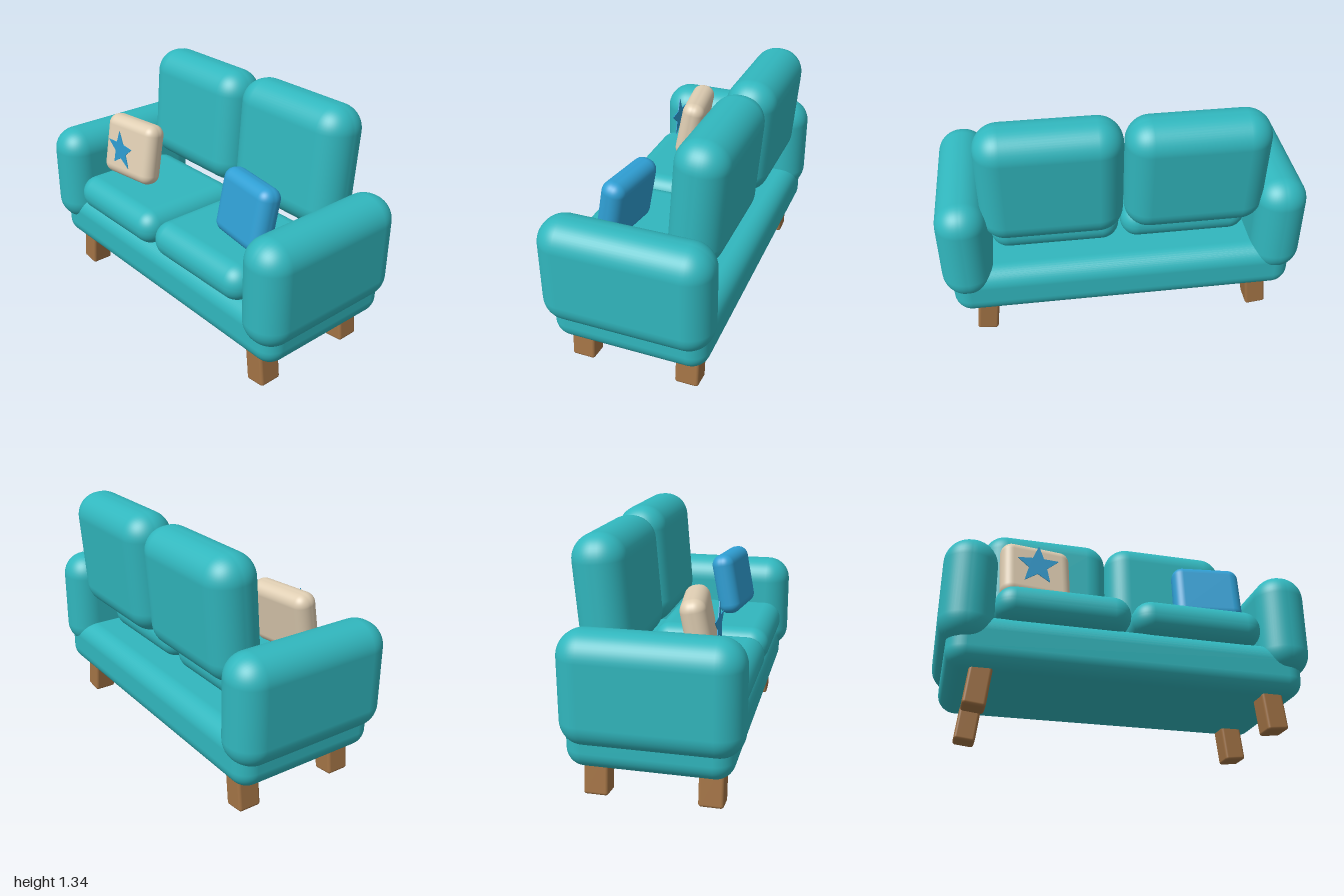
import * as THREE from 'three';
import { RoundedBoxGeometry } from 'three/addons/geometries/RoundedBoxGeometry.js';

function material(name, color) {
  const m = new THREE.MeshStandardMaterial({ color });
  m.name = name;
  return m;
}

export function createModel() {
  const teal = material('teal fabric', 0x31b7be);
  const cream = material('cream fabric', 0xdecdb2);
  const blue = material('blue fabric', 0x2f9fd4);
  const wood = material('wood', 0xa27345);

  const sofa = new THREE.Group();
  sofa.name = 'sofa';

  // Soft rounded block: size and centre as [x, y, z], tilt as Euler angles
  function block(name, mat, size, radius, centre, tilt = [0, 0, 0]) {
    const mesh = new THREE.Mesh(new RoundedBoxGeometry(...size, 6, radius), mat);
    mesh.name = name;
    mesh.position.set(...centre);
    mesh.rotation.set(tilt[0], tilt[1], tilt[2], 'YXZ');
    sofa.add(mesh);
    return mesh;
  }

  block('base', teal, [1.9, 0.29, 0.855], 0.1, [0, 0.335, -0.012]);

  for (const side of [-1, 1]) {
    const label = side > 0 ? 'left' : 'right';
    block(label + 'Arm', teal, [0.28, 0.595, 0.93], 0.135, [side * 0.86, 0.6075, 0]);
    block(label + 'SeatCushion', teal, [0.72, 0.205, 0.68], 0.1, [side * 0.365, 0.5575, 0.1]);

    // Legs lean in towards the floor
    for (const [end, z] of [['Front', 0.29], ['Back', -0.305]]) {
      block(label + end + 'Leg', wood, [0.117, 0.25, 0.13], 0.016,
        [side * 0.777, 0.13, z], [0, 0, side * 0.115]);
    }
  }

  // Back cushions lean backwards, the left one a little taller
  block('leftBackCushion', teal, [0.76, 0.69, 0.286], 0.135, [0.38, 0.995, -0.295], [-0.08, 0, 0]);
  block('rightBackCushion', teal, [0.76, 0.67, 0.286], 0.135, [-0.385, 0.99, -0.295], [-0.08, 0, 0]);

  // Throw pillows
  block('creamPillow', cream, [0.39, 0.362, 0.135], 0.06, [-0.502, 0.84, 0.16], [-0.19, 0.14, 0]);
  block('bluePillow', blue, [0.39, 0.362, 0.135], 0.06, [0.498, 0.84, 0.16], [-0.19, -0.14, 0]);

  // Star patch standing upright on the cream pillow
  const star = new THREE.Shape();
  for (let i = 0; i < 10; i++) {
    const r = i % 2 ? 0.052 : 0.118;
    const a = Math.PI / 2 + i * Math.PI / 5;
    star[i ? 'lineTo' : 'moveTo'](r * Math.cos(a), r * Math.sin(a));
  }
  star.closePath();
  const patch = new THREE.Mesh(
    new THREE.ExtrudeGeometry(star, { depth: 0.005, bevelEnabled: false }), blue);
  patch.name = 'starPatch';
  patch.position.set(-0.5, 0.858, 0.257);
  sofa.add(patch);

  return sofa;
}
